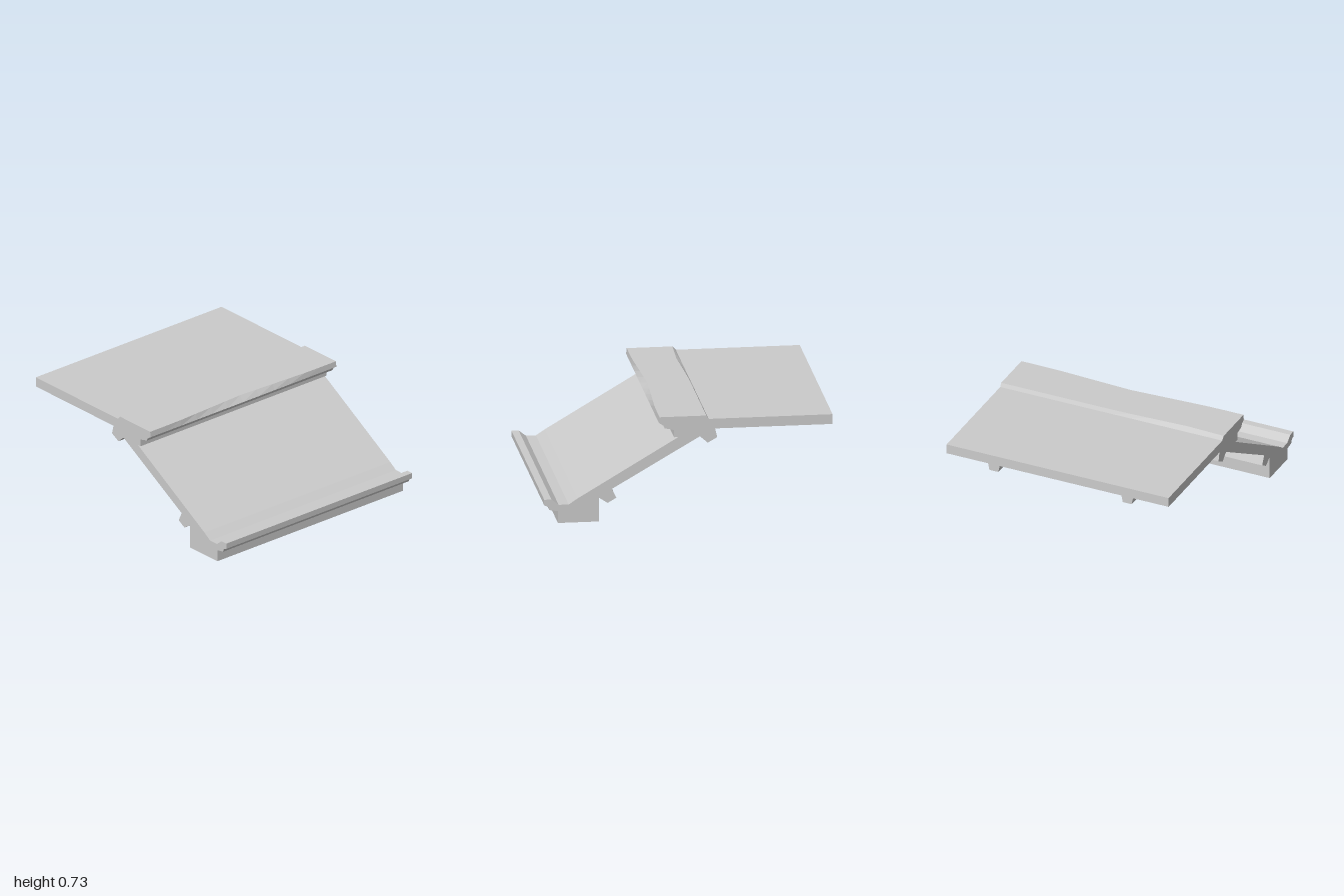
import * as THREE from 'three';

const HALF = 0.845;
const material = new THREE.MeshStandardMaterial({ color: 0xcccccc, flatShading: true });

// Cross-section of the whole canopy as [z, y], running round the outside
const PROFILE = [
  // gutter block with moulded lip
  [0.62, 0], [0.905, 0], [0.905, 0.085], [0.965, 0.095], [0.975, 0.12], [1, 0.13],
  [1, 0.17], [0.95, 0.17], [0.9, 0.13], [0.83, 0.13], [0.77, 0.17],
  // slope and moulded ridge
  [0.07, 0.583], [0.1, 0.583], [0.1, 0.635], [0.165, 0.65], [0.175, 0.67],
  [0.205, 0.69], [0.2, 0.73], [-0.125, 0.73], [-0.14, 0.705],
  // flat deck
  [-1, 0.705], [-1, 0.635], [-0.185, 0.635],
  // upper purlin, underside of slope, lower purlin
  [-0.2, 0.572], [-0.134, 0.535], [-0.08, 0.583],
  [0.53, 0.23], [0.5, 0.165], [0.56, 0.13], [0.62, 0.17],
];

const tent = (x, centre, width) => Math.max(0, 1 - Math.abs(x - centre) / width);

function roofGeometry() {
  const shape = new THREE.Shape(PROFILE.map(([z, y]) => new THREE.Vector2(z, y)));
  const g = new THREE.ExtrudeGeometry(shape, { depth: 2 * HALF, steps: 12, bevelEnabled: false });
  g.rotateY(-Math.PI / 2).translate(HALF, 0, 0);
  // worn edges along the top of the ridge
  const p = g.attributes.position;
  for (let i = 0; i < p.count; i++) {
    if (p.getY(i) < 0.725) continue;
    const x = p.getX(i), z = p.getZ(i);
    p.setZ(i, z > 0 ? z - 0.03 * tent(x, 0, 0.6) : z + 0.02 * tent(x, -0.56, 0.5));
  }
  g.computeVertexNormals();
  return g;
}

// Tapered rib hanging below the line from [z, y] a to b
function rib(name, x, a, b) {
  const dz = b[0] - a[0], dy = b[1] - a[1];
  const section = new THREE.Shape([
    new THREE.Vector2(-0.034, -0.05), new THREE.Vector2(0.034, -0.05),
    new THREE.Vector2(0.045, 0.005), new THREE.Vector2(-0.045, 0.005),
  ]);
  const g = new THREE.ExtrudeGeometry(section, { depth: Math.hypot(dz, dy), bevelEnabled: false });
  const mesh = new THREE.Mesh(g, material);
  mesh.name = name;
  mesh.position.set(x, a[1], a[0]);
  mesh.rotation.x = Math.atan2(-dy, dz);
  return mesh;
}

export function createModel() {
  const model = new THREE.Group();
  model.name = 'roofSection';

  const roof = new THREE.Mesh(roofGeometry(), material);
  roof.name = 'roofShell';
  model.add(roof);

  for (const x of [0.485, -0.53]) {
    model.add(rib('deckRib', x, [-1, 0.635], [-0.185, 0.635]));
    model.add(rib('slopeRib', x, [-0.08, 0.583], [0.53, 0.23]));
  }
  return model;
}
